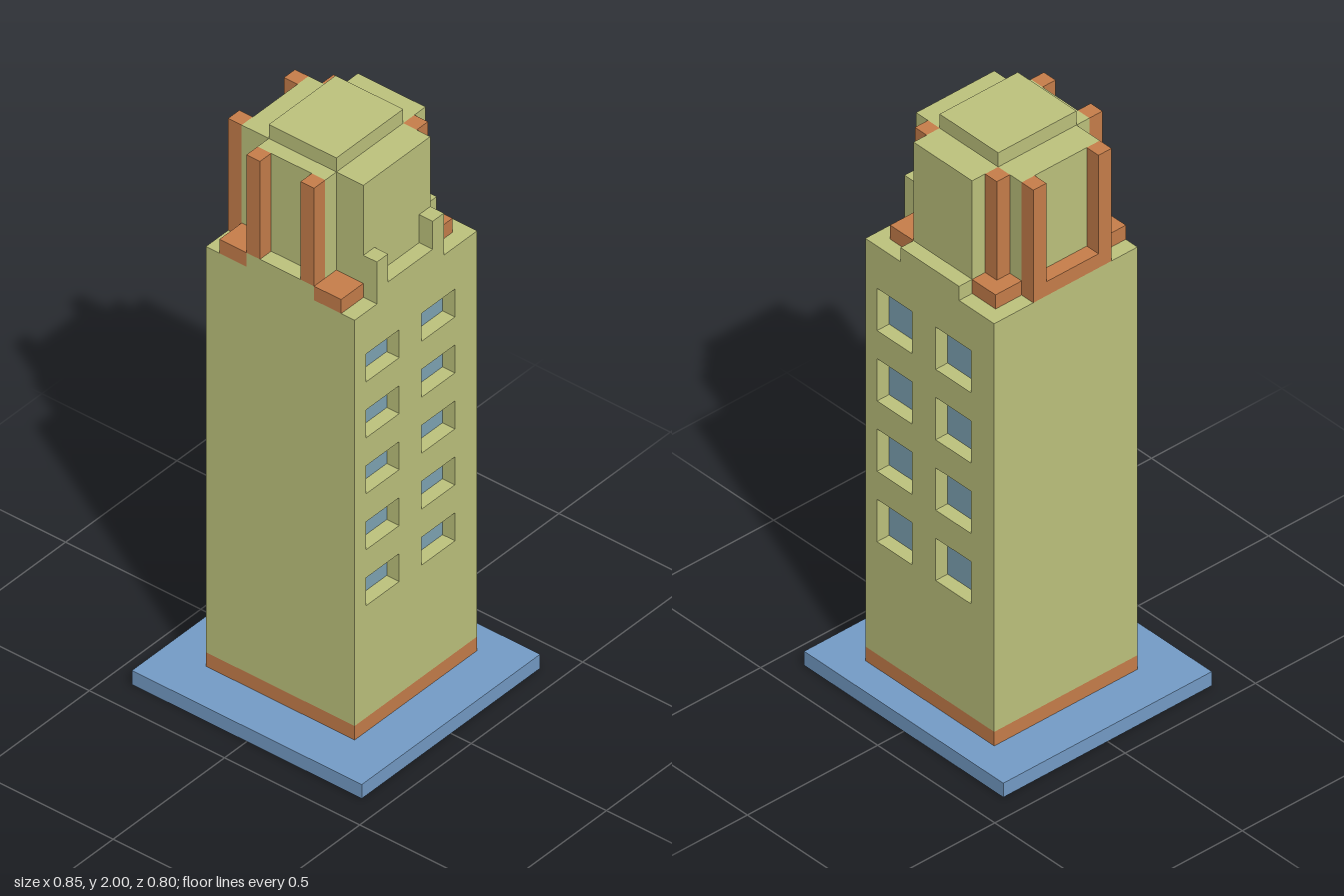
import * as THREE from 'three';

const mat = (name, color) => {
  const m = new THREE.MeshStandardMaterial({ color });
  m.name = name;
  return m;
};

export function createModel() {
  const model = new THREE.Group();
  model.name = 'tower';
  const stone = mat('olive stone', 0xbfc47e);
  const brick = mat('orange brick', 0xc87f4b);
  const paving = mat('blue paving', 0x759dc8);
  const glass = mat('window glass', 0x80a6b6);

  const add = (name, geometry, material) => {
    const mesh = new THREE.Mesh(geometry, material);
    mesh.name = name;
    model.add(mesh);
    return mesh;
  };

  // Box given by its limits on each axis
  const box = (name, material, [x0, x1], [y0, y1], [z0, z1]) => {
    const mesh = add(name, new THREE.BoxGeometry(x1 - x0, y1 - y0, z1 - z0), material);
    mesh.position.set((x0 + x1) / 2, (y0 + y1) / 2, (z0 + z1) / 2);
    return mesh;
  };

  const rect = (target, [a0, a1], [b0, b1]) => {
    target.moveTo(a0, b0);
    target.lineTo(a1, b0);
    target.lineTo(a1, b1);
    target.lineTo(a0, b1);
    target.closePath();
    return target;
  };

  // Wall 0.05 thick with rectangular window openings
  const wall = (width, openings) => {
    const shape = rect(new THREE.Shape(), width, [0.1, 1.55]);
    for (const [u, v] of openings) shape.holes.push(rect(new THREE.Path(), u, v));
    return new THREE.ExtrudeGeometry(shape, { depth: 0.05, bevelEnabled: false });
  };

  // Ground slab, plinth and solid core
  box('groundSlab', paving, [-0.425, 0.425], [0, 0.05], [-0.4, 0.4]);
  box('plinth', brick, [-0.275, 0.275], [0.05, 0.1], [-0.3, 0.25]);
  box('towerCore', stone, [-0.275, 0.225], [0.1, 1.55], [-0.25, 0.25]);

  // Left wall: five rows of wide windows
  const sideOpenings = [];
  for (let i = 0; i < 5; i++) {
    const y = [0.5 + i * 0.2, 0.6 + i * 0.2];
    for (const z of [[-0.2, -0.05], [0.05, 0.2]]) {
      sideOpenings.push([z, y]);
      box('sideWindow', glass, [0.225, 0.229], y, z);
    }
  }
  const sideWall = add('sideWall', wall([-0.25, 0.25], sideOpenings), stone);
  sideWall.rotation.y = Math.PI / 2;
  sideWall.position.x = 0.225;

  // Back wall: four rows of square windows
  const backOpenings = [];
  for (let i = 0; i < 4; i++) {
    const y = [0.5 + i * 0.25, 0.65 + i * 0.25];
    for (const x of [[-0.175, -0.025], [0.075, 0.225]]) {
      backOpenings.push([x, y]);
      box('backWindow', glass, x, y, [-0.254, -0.25]);
    }
  }
  const backWall = add('backWall', wall([-0.275, 0.275], backOpenings), stone);
  backWall.position.z = -0.3;

  // Stepped ledge under the crown
  const ledge = [1.55, 1.6];
  box('ledgeCentre', stone, [-0.125, 0.125], ledge, [-0.3, 0.25]);
  box('ledgeLeft', stone, [0.125, 0.275], ledge, [-0.15, 0.15]);
  box('ledgeRight', stone, [-0.225, -0.125], ledge, [-0.15, 0.15]);
  box('ledgeRightTrim', brick, [-0.275, -0.225], ledge, [-0.15, 0.15]);
  for (const x of [[-0.225, -0.125], [0.125, 0.225]]) {
    box('ledgeFrontCorner', brick, x, ledge, [0.15, 0.25]);
    box('ledgeBackCorner', brick, x, ledge, [-0.25, -0.15]);
  }

  // Cross-shaped crown and roof cap
  const crown = [1.6, 1.95];
  box('crownCentre', stone, [-0.125, 0.125], crown, [-0.25, 0.2]);
  for (const x of [[-0.225, -0.125], [0.125, 0.225]]) box('crownWing', stone, x, crown, [-0.15, 0.15]);
  box('roofCap', stone, [-0.125, 0.125], [1.95, 2], [-0.15, 0.15]);

  // Brick pillars on the front, right and back corners, short stone posts on the left
  for (const x of [[-0.125, -0.075], [0.075, 0.125]]) box('frontPillar', brick, x, crown, [0.2, 0.25]);
  for (const x of [[-0.175, -0.125], [0.125, 0.175]]) box('backPillar', brick, x, crown, [-0.2, -0.15]);
  for (const z of [[-0.15, -0.1], [0.1, 0.15]]) {
    box('rightPillar', brick, [-0.275, -0.225], crown, z);
    box('leftPost', stone, [0.225, 0.275], [1.6, 1.7], z);
  }

  return model;
}
